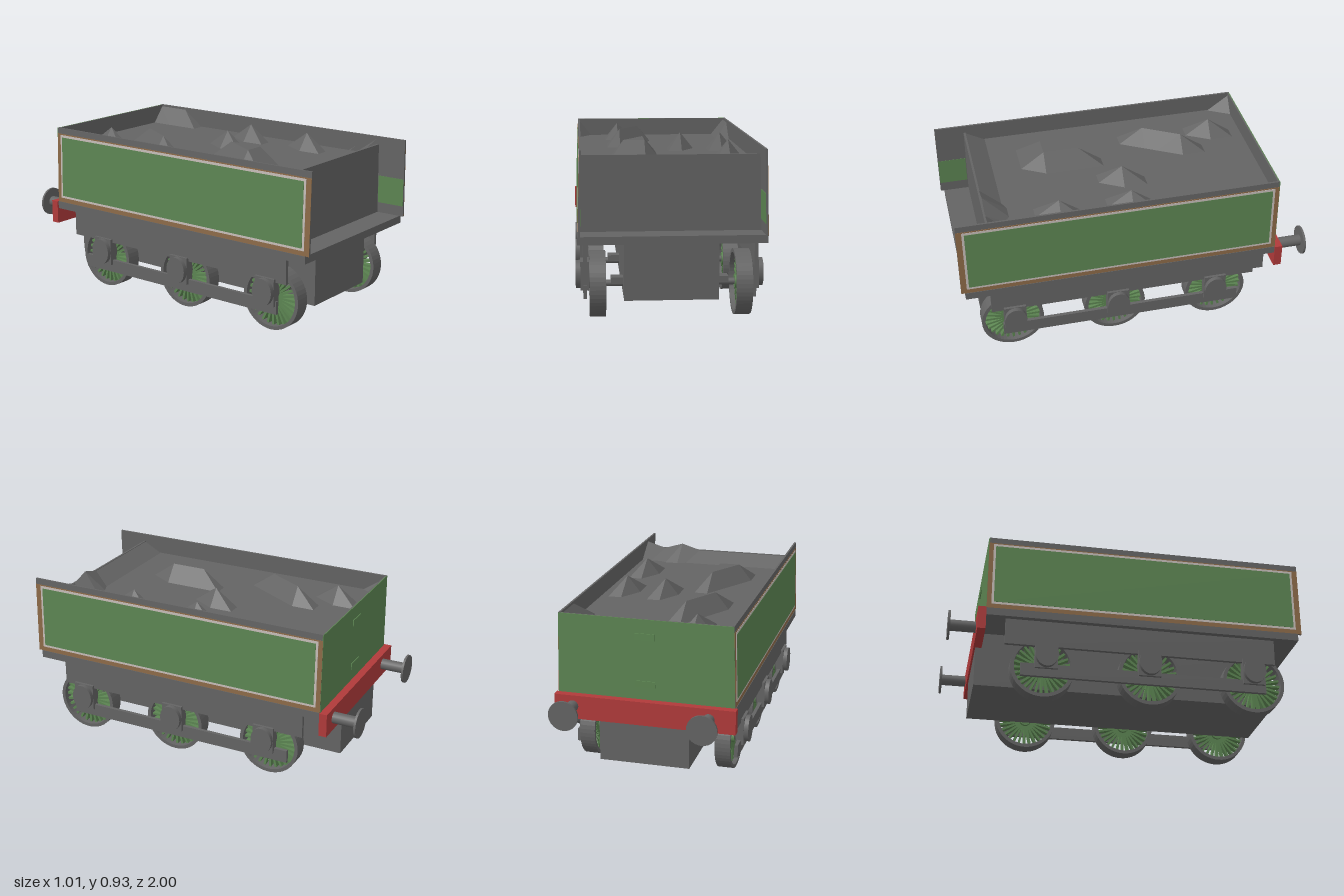
import * as THREE from 'three';

const mat = (name, color, side = THREE.FrontSide) => {
  const m = new THREE.MeshStandardMaterial({ color, side });
  m.name = name;
  return m;
};

export function createModel() {
  const grey = mat('dark grey', 0x646464);
  const green = mat('green', 0x5c8552);
  const red = mat('red', 0xb03a3a);
  const brown = mat('brown', 0x8c6a48);
  const cream = mat('pale lining', 0xc6bcb8);

  const root = new THREE.Group();
  root.name = 'coalTender';

  const add = (name, geo, material, parent = root) => {
    const m = new THREE.Mesh(geo, material);
    m.name = name;
    parent.add(m);
    return m;
  };
  // box given by its minimum and maximum on each axis
  const box = (name, material, x0, x1, y0, y1, z0, z1, parent = root) => {
    const m = add(name, new THREE.BoxGeometry(x1 - x0, y1 - y0, z1 - z0), material, parent);
    m.position.set((x0 + x1) / 2, (y0 + y1) / 2, (z0 + z1) / 2);
    return m;
  };
  // box placed on both sides of the model
  const pair = (name, material, x0, x1, ...rest) => {
    box(name + 'Left', material, x0, x1, ...rest);
    box(name + 'Right', material, -x1, -x0, ...rest);
  };

  // chassis
  box('deck', grey, -0.494, 0.494, 0.435, 0.478, -0.8, 0.978);
  box('waterTank', grey, -0.25, 0.25, 0.118, 0.436, -0.835, 0.885);
  pair('sideFrame', grey, 0.443, 0.463, 0.285, 0.436, -0.69, 0.84);
  pair('lowerFrameBar', grey, 0.443, 0.463, 0.105, 0.178, -0.6, 0.78);

  // body: leaning side sheets with layered painted panels
  for (const s of [1, -1]) {
    const side = new THREE.Group();
    side.name = s > 0 ? 'sideLeft' : 'sideRight';
    side.position.set(s * 0.49, 0.478, 0);
    side.rotation.z = s * 0.025;
    root.add(side);
    const plate = (name, m, out, t, y0, y1, z0, z1) => {
      const a = s * (out - t), b = s * out;
      box(name, m, Math.min(a, b), Math.max(a, b), y0, y1, z0, z1, side);
    };
    plate('sideSheet', grey, 0, 0.011, 0, 0.449, -0.8, 1);
    plate('brownBorder', brown, 0.0015, 0.0015, 0, 0.415, -0.8, 1);
    plate('paleLining', cream, 0.003, 0.0015, 0.026, 0.408, -0.775, 0.968);
    plate('greenPanel', green, 0.0045, 0.0015, 0.039, 0.394, -0.762, 0.955);
    plate('innerPanel', green, -0.011, 0.0015, 0.06, 0.22, 0.835, 0.998);
  }

  // tapered upright wall
  const wall = (name, material, top, z0, z1) => {
    const shape = new THREE.Shape([
      new THREE.Vector2(-0.489, 0.478), new THREE.Vector2(0.489, 0.478),
      new THREE.Vector2(0.479, top), new THREE.Vector2(-0.479, top)]);
    const geo = new THREE.ExtrudeGeometry(shape, { depth: z1 - z0, bevelEnabled: false });
    add(name, geo, material).position.z = z0;
  };
  wall('frontBulkhead', grey, 0.882, 0.82, 0.832);
  wall('backWallInner', grey, 0.925, -0.797, -0.79);
  wall('backWall', green, 0.925, -0.802, -0.797);
  for (const y of [0.83, 0.565]) box('backPlate', green, -0.055, 0.055, y - 0.018, y + 0.018, -0.807, -0.801);

  // coal: a flat bed pierced by the raised points of a coarse grid
  box('coalBed', grey, -0.48, 0.48, 0.79, 0.82, -0.792, 0.822);
  const coal = new THREE.PlaneGeometry(0.93, 1.62, 8, 8);
  coal.rotateX(-Math.PI / 2);
  const peaks = [[0, 0], [8, 0], [8, 1], [2, 1], [3, 2], [2, 3], [5, 4], [7, 4], [3, 5], [2, 6], [3, 6], [7, 6], [6, 8], [8, 8]];
  const p = coal.attributes.position;
  for (let row = 0; row < 9; row++) {
    for (let col = 0; col < 9; col++) p.setY(row * 9 + col, row === 8 ? 0.88 : 0.77);
  }
  for (const [col, row] of peaks) p.setY(row * 9 + col, 0.915);
  const lumps = coal.toNonIndexed();
  lumps.computeVertexNormals();
  add('coalLumps', lumps, grey).position.z = 0.012;

  // buffer beam and buffers
  box('bufferBeam', red, -0.503, 0.5, 0.345, 0.478, -0.845, -0.8);
  for (const x of [-0.358, 0.397]) {
    const buffer = new THREE.Group();
    buffer.name = 'buffer';
    buffer.position.set(x, 0.418, 0);
    buffer.rotation.x = Math.PI / 2;
    root.add(buffer);
    add('bufferShaft', new THREE.CylinderGeometry(0.032, 0.032, 0.15, 20), grey, buffer).position.y = -0.915;
    add('bufferHead', new THREE.CylinderGeometry(0.083, 0.083, 0.012, 28), grey, buffer).position.y = -0.994;
  }

  // wheels
  const R = 0.178;
  const ring = new THREE.Shape().absarc(0, 0, R, 0, Math.PI * 2);
  ring.holes.push(new THREE.Path().absarc(0, 0, R - 0.02, 0, Math.PI * 2, true));
  const rim = new THREE.ExtrudeGeometry(ring, { depth: 0.086, bevelEnabled: false, curveSegments: 24 });
  rim.translate(0, 0, -0.043).rotateY(Math.PI / 2);
  const spoke = new THREE.BoxGeometry(0.035, 0.14, 0.013).translate(0, 0.092, 0);
  const hub = new THREE.CylinderGeometry(0.035, 0.035, 0.07, 20).rotateZ(Math.PI / 2);
  const axle = new THREE.CylinderGeometry(0.018, 0.018, 0.9, 16).rotateZ(Math.PI / 2);
  const boss = new THREE.CylinderGeometry(0.076, 0.076, 0.08, 28).rotateZ(Math.PI / 2).scale(1, 1, 0.83);

  for (const z of [0.72, 0.125, -0.475]) {
    add('axle', axle, grey).position.set(0, R, z);
    box('axleBeam', grey, -0.315, 0.315, 0.185, 0.215, z - 0.04, z + 0.04);
    for (const s of [1, -1]) {
      const wheel = new THREE.Group();
      wheel.name = s > 0 ? 'wheelLeft' : 'wheelRight';
      wheel.position.set(s * 0.387, R, z);
      root.add(wheel);
      add('rim', rim, grey, wheel);
      add('hub', hub, green, wheel);
      for (let i = 0; i < 28; i++) add('spoke', spoke, green, wheel).rotation.x = (i / 28) * Math.PI * 2;
      // axle box with a rounded outer boss
      const zb = z - 0.02 + (z < 0 ? 0.035 : 0.01);
      add('axleBoxBoss', boss, grey).position.set(s * 0.463, 0.228, zb);
    }
    const zb = z - 0.02 + (z < 0 ? 0.035 : 0.01);
    pair('axleBox', grey, 0.432, 0.478, 0.15, 0.305, zb - 0.063, zb + 0.063);
  }
  return root;
}
